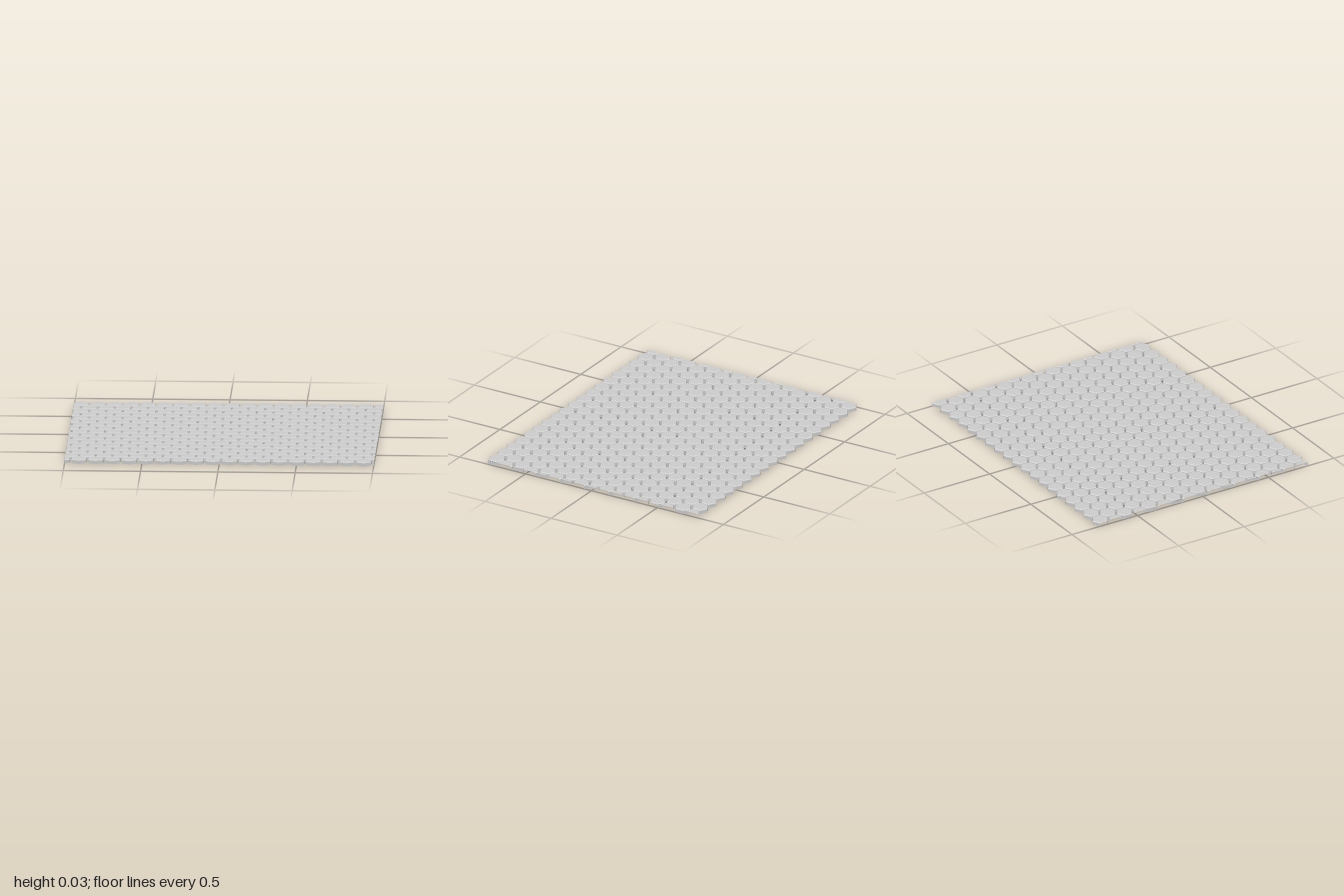
import * as THREE from 'three';

const ROWS = 17, PITCH_X = 0.1083, PITCH_Z = 0.0945, ROW_SHIFT = 0.0569;
const RADIUS = 0.057, HEIGHT = 0.027, BEVEL = 0.006;

// Hexagon corners with points towards +z and -z
function hexRing(cx, cz, r, y) {
  return Array.from({ length: 6 }, (_, k) => {
    const a = k * Math.PI / 3;
    return new THREE.Vector3(cx + r * Math.sin(a), y, cz + r * Math.cos(a));
  });
}

// Keeps the part of a convex polygon where sign * x <= 1
function clip(poly, sign) {
  const out = [];
  poly.forEach((p, i) => {
    const q = poly[(i + 1) % poly.length];
    const dp = 1 - sign * p.x, dq = 1 - sign * q.x;
    if (dp >= 0) out.push(p);
    if (dp * dq < 0) out.push(p.clone().lerp(q, dp / (dp - dq)));
  });
  return out;
}

function addFace(positions, poly) {
  const p = clip(clip(poly, 1), -1);
  for (let i = 1; i < p.length - 1; i++) {
    for (const v of [p[0], p[i], p[i + 1]]) positions.push(v.x, v.y, v.z);
  }
}

// Hollow tile: upright wall, bevelled rim and flat top, open below
function addTile(positions, cx, cz) {
  const rings = [
    hexRing(cx, cz, RADIUS, 0),
    hexRing(cx, cz, RADIUS, HEIGHT - BEVEL),
    hexRing(cx, cz, RADIUS - BEVEL, HEIGHT),
  ];
  for (let r = 0; r < 2; r++) {
    for (let k = 0; k < 6; k++) {
      const n = (k + 1) % 6;
      addFace(positions, [rings[r][k], rings[r][n], rings[r + 1][n], rings[r + 1][k]]);
    }
  }
  addFace(positions, rings[2]);
}

export function createModel() {
  const group = new THREE.Group();
  group.name = 'hexTileSheet';
  const material = new THREE.MeshStandardMaterial({
    color: 0xcccccc, flatShading: true, side: THREE.DoubleSide,
  });

  // Staggered rows from back to front, trimmed straight at both sides
  for (let row = 0; row < ROWS; row++) {
    const positions = [];
    const z = (row - (ROWS - 1) / 2) * PITCH_Z;
    const start = -0.952 + (row * ROW_SHIFT) % PITCH_X - PITCH_X;
    for (let x = start; x < 1 + RADIUS; x += PITCH_X) addTile(positions, x, z);

    const geometry = new THREE.BufferGeometry();
    geometry.setAttribute('position', new THREE.Float32BufferAttribute(positions, 3));
    geometry.computeVertexNormals();
    const mesh = new THREE.Mesh(geometry, material);
    mesh.name = `tileRow${row + 1}`;
    group.add(mesh);
  }
  return group;
}
